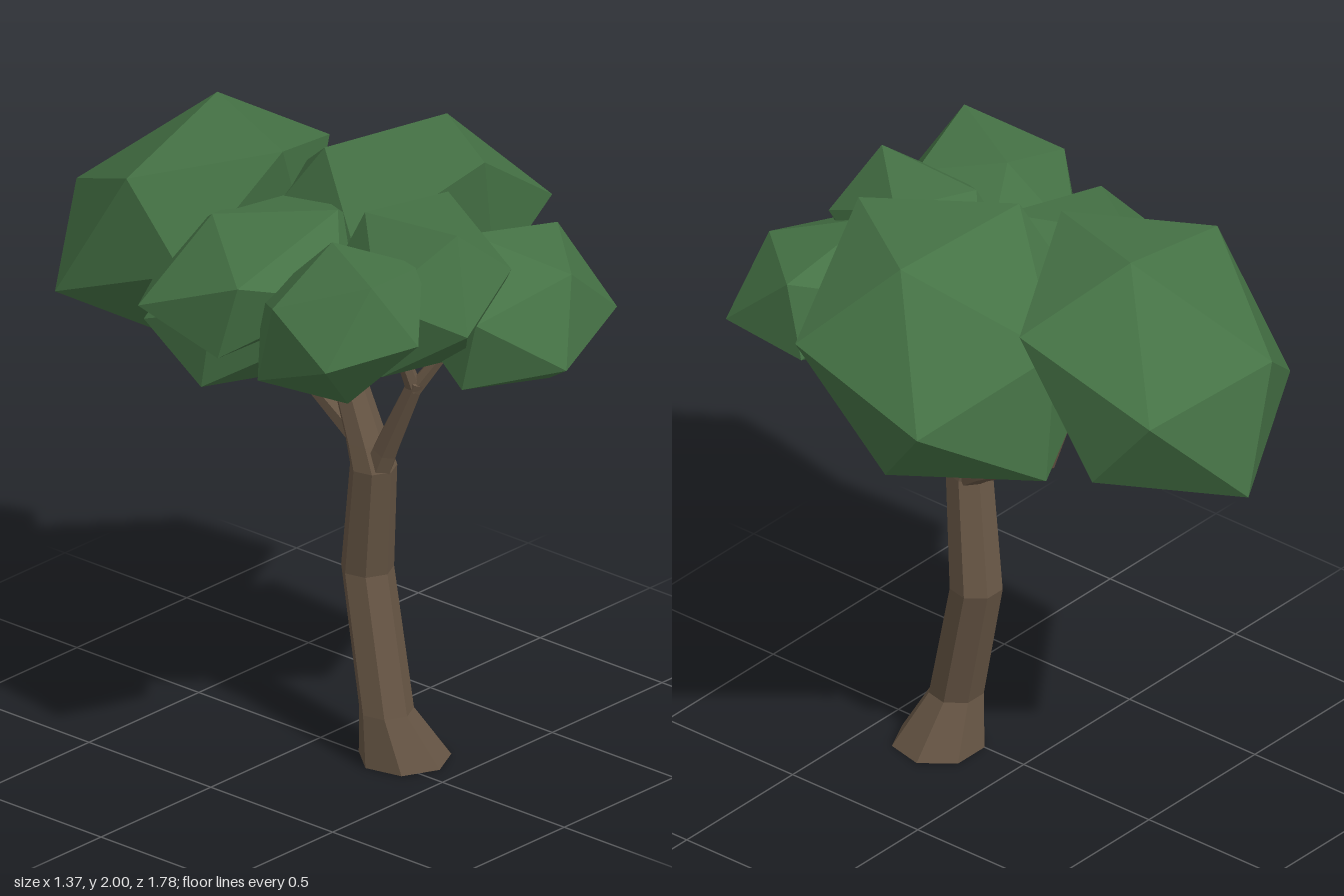
import * as THREE from 'three';
import { ConvexGeometry } from 'three/addons/geometries/ConvexGeometry.js';

const bark = new THREE.MeshStandardMaterial({ color: 0x665544, flatShading: true });
const leaf = new THREE.MeshStandardMaterial({ color: 0x457245, flatShading: true });

// Faceted limb swept through rows of [x, y, z, radius]; level keeps its rings horizontal
function limb(rows, sides, level = false) {
  const up = new THREE.Vector3(0, 1, 0);
  const pts = rows.map(([x, y, z]) => new THREE.Vector3(x, y, z));
  const pos = [], idx = [];
  pts.forEach((p, i) => {
    const dir = pts[Math.min(i + 1, pts.length - 1)].clone().sub(pts[Math.max(i - 1, 0)]).normalize();
    const q = new THREE.Quaternion();
    if (!level) q.setFromUnitVectors(up, dir);
    for (let s = 0; s < sides; s++) {
      const a = (s / sides) * Math.PI * 2;
      const v = new THREE.Vector3(Math.sin(a), 0, Math.cos(a)).multiplyScalar(rows[i][3]);
      pos.push(...v.applyQuaternion(q).add(p).toArray());
    }
  });
  for (let i = 0; i < rows.length - 1; i++) {
    for (let s = 0; s < sides; s++) {
      const a = i * sides + s, b = i * sides + ((s + 1) % sides);
      idx.push(a, b, b + sides, a, b + sides, a + sides);
    }
  }
  // end caps
  const top = (rows.length - 1) * sides;
  for (let s = 1; s < sides - 1; s++) {
    idx.push(0, s + 1, s, top, top + s, top + s + 1);
  }
  const geo = new THREE.BufferGeometry();
  geo.setAttribute('position', new THREE.Float32BufferAttribute(pos, 3));
  geo.setIndex(idx);
  const flat = geo.toNonIndexed();
  flat.computeVertexNormals();
  return flat;
}

// Stretched icosahedron: its centre and one face (three corner offsets) fix all twelve corners
function clump(center, ...face) {
  const phi = (1 + Math.sqrt(5)) / 2;
  const c = new THREE.Vector3(...center);
  const f = face.map((v) => new THREE.Vector3(...v));
  const across = f.map((v, i) =>
    f[(i + 1) % 3].clone().add(f[(i + 2) % 3]).divideScalar(phi).sub(v));
  const corners = [...f, ...across].flatMap((v) => [c.clone().add(v), c.clone().sub(v)]);
  return new ConvexGeometry(corners);
}

export function createModel() {
  const tree = new THREE.Group();
  tree.name = 'tree';
  const add = (name, geometry, material) => {
    const mesh = new THREE.Mesh(geometry, material);
    mesh.name = name;
    tree.add(mesh);
  };

  // Crooked trunk with a flared foot, running on into the middle branch
  add('trunk', limb([
    [0.063, 0, 0.287, 0.145],
    [0.01, 0.17, 0.26, 0.086],
    [0.045, 0.6, 0.151, 0.083],
    [0.005, 0.97, 0.212, 0.074],
    [0.003, 1.05, 0.185, 0.066],
    [0.003, 1.31, 0.083, 0.05],
    [-0.04, 1.55, -0.02, 0.035],
  ], 7, true), bark);

  // Branches reaching into the foliage
  const branches = {
    backBranch: [[0.03, 0.96, 0.22, 0.045], [0.045, 1.02, 0.13, 0.038], [0.07, 1.18, -0.16, 0.027], [0.06, 1.45, -0.26, 0.018]],
    frontBranch: [[0.0, 0.95, 0.225, 0.05], [0.0, 1.04, 0.265, 0.042], [0.0, 1.31, 0.395, 0.028]],
    frontLeftTwig: [[0.0, 1.28, 0.385, 0.026], [0.04, 1.4, 0.46, 0.02], [0.08, 1.5, 0.52, 0.016]],
    frontRightTwig: [[0.0, 1.28, 0.385, 0.026], [-0.04, 1.4, 0.37, 0.021], [-0.09, 1.52, 0.36, 0.016]],
  };
  for (const [name, rows] of Object.entries(branches)) add(name, limb(rows, 6), bark);

  // Foliage clumps: centre, then the three corners of one face
  const clumps = {
    backFoliage: [[-0.055, 1.628, -0.477], [0.105, 0.372, 0.008], [-0.035, 0.337, 0.403], [0.417, 0.18, 0.188]],
    leftFoliage: [[0.284, 1.634, 0.045], [-0.03, 0.336, 0.4], [-0.299, 0.351, -0.015], [0.192, 0.32, 0.045]],
    rightFoliage: [[-0.225, 1.63, -0.05], [-0.342, 0.106, 0.22], [0.115, 0.22, 0.22], [-0.095, 0.179, -0.107]],
    lowerRightFoliage: [[-0.22, 1.475, -0.14], [-0.18, -0.21, 0.01], [-0.04, -0.215, -0.19], [0.06, -0.22, 0.1]],
    frontRightFoliage: [[-0.4, 1.65, 0.44], [-0.1, 0.215, 0.22], [-0.236, 0.105, -0.065], [0.075, 0.215, -0.1]],
    frontLeftFoliage: [[0.19, 1.56, 0.605], [0.06, 0.145, 0.2], [0.29, 0.165, -0.065], [-0.08, 0.24, -0.09]],
    frontMiddleFoliage: [[-0.07, 1.672, 0.45], [-0.035, 0.235, 0.205], [0.213, 0.223, -0.055], [-0.05, 0.21, -0.16]],
  };
  for (const [name, shape] of Object.entries(clumps)) add(name, clump(...shape), leaf);

  return tree;
}
